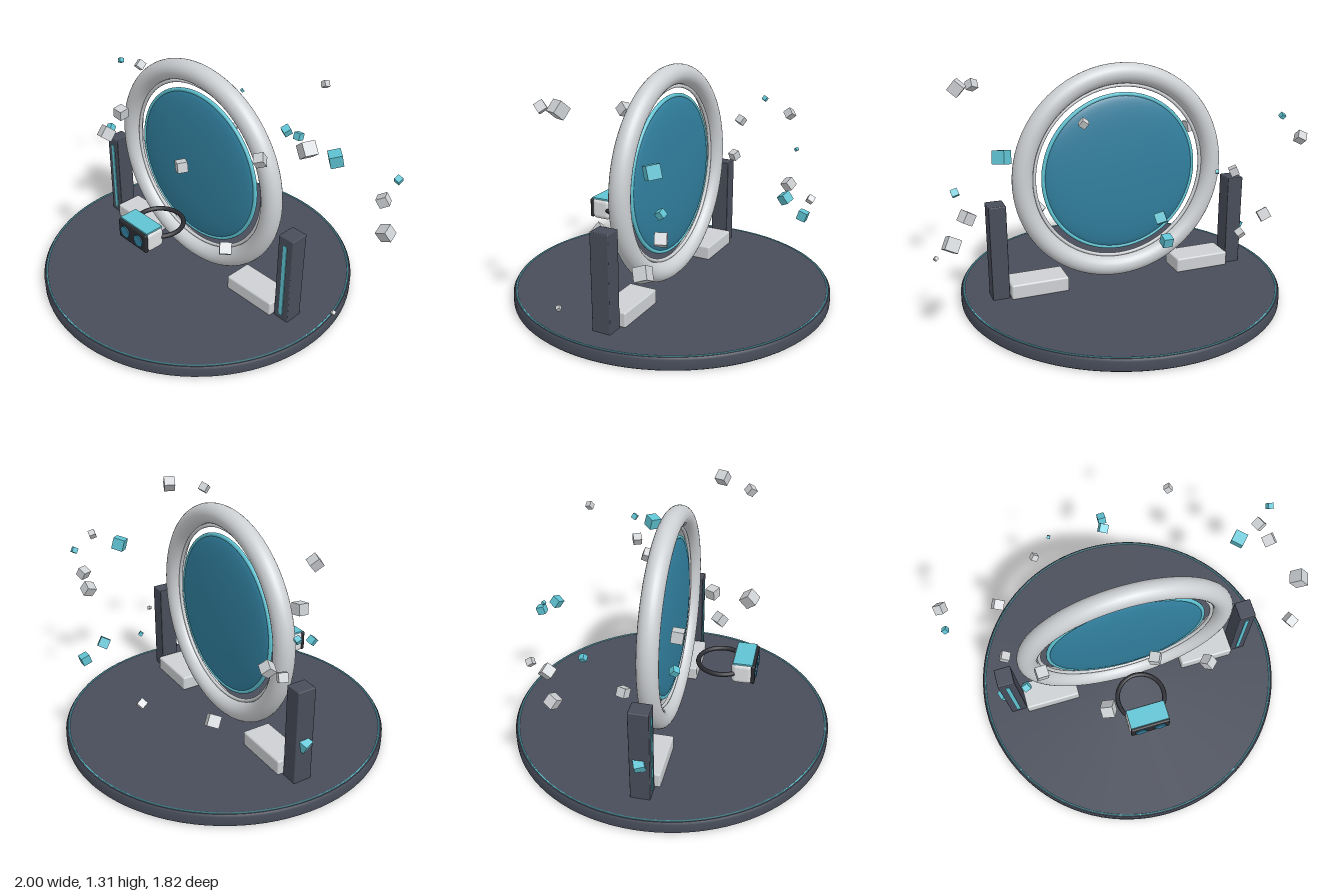
import * as THREE from 'three';
import { RoundedBoxGeometry } from 'three/addons/geometries/RoundedBoxGeometry.js';

const mat = (name, color) => {
  const m = new THREE.MeshStandardMaterial({ color });
  m.name = name;
  return m;
};

export function createModel() {
  const slate = mat('slate', 0x484d5a);
  const silver = mat('silver', 0xcdd0d3);
  const white = mat('white', 0xdedfe1);
  const glow = mat('bright teal', 0x5fc3d3);
  const blue = mat('deep teal', 0x317f9e);
  const black = mat('black', 0x2a2b31);

  const root = new THREE.Group();
  const add = (name, geo, material, x, y, z, parent = root) => {
    const m = new THREE.Mesh(geo, material);
    m.name = name;
    m.position.set(x, y, z);
    parent.add(m);
    return m;
  };
  const cx = -0.05, cy = 0.7;

  // Round platform with a small bevel and a thin inlaid line
  const bottom = [[0, 0], [0.9, 0]], wall = [[0.9, 0], [0.908, 0.008], [0.908, 0.058], [0.9, 0.07]];
  const lathe = (pts) => new THREE.LatheGeometry(pts.map(p => new THREE.Vector2(...p)), 96);
  add('platformBottom', lathe(bottom), slate, cx, 0, 0);
  add('platformWall', lathe(wall), slate, cx, 0, 0);
  add('platformTop', lathe([[0.9, 0.07], [0, 0.07]]), slate, cx, 0, 0);
  add('platformLine', new THREE.TorusGeometry(0.89, 0.004, 6, 96).rotateX(Math.PI / 2), glow, cx, 0.07, 0);

  // Upright portal: heavy ring, slim inner ring, glowing rim and lens
  add('portalRing', new THREE.TorusGeometry(0.556, 0.056, 24, 96), silver, cx, cy, 0);
  add('portalInnerRing', new THREE.TorusGeometry(0.491, 0.01, 10, 96), silver, cx, cy, 0);
  add('portalRim', new THREE.TorusGeometry(0.441, 0.011, 10, 96), glow, cx, cy, 0);
  add('portalLens', new THREE.SphereGeometry(0.437, 64, 40).scale(1, 1, 0.11), blue, cx, cy, 0);

  // Feet and light pillars on both sides
  for (const s of [-1, 1]) {
    add('foot', new RoundedBoxGeometry(0.324, 0.085, 0.165, 2, 0.01), silver, cx + s * 0.493, 0.11, 0);
    add('pillar', new RoundedBoxGeometry(0.094, 0.54, 0.106, 2, 0.005), slate, cx + s * 0.707, 0.332, 0);
    add('pillarLight', new THREE.BoxGeometry(0.023, 0.455, 0.008), glow, cx + s * 0.707, 0.328, 0.053);
  }

  // Floating headset with strap
  const headset = new THREE.Group();
  headset.name = 'headset';
  headset.position.set(cx, 0.457, 0.41);
  root.add(headset);
  add('headsetBody', new RoundedBoxGeometry(0.235, 0.126, 0.118, 4, 0.028), white, 0, 0, 0, headset);
  add('headsetTopPlate', new THREE.BoxGeometry(0.22, 0.009, 0.106), glow, 0, 0.06, 0.003, headset);
  add('headsetFace', new RoundedBoxGeometry(0.226, 0.112, 0.022, 2, 0.008), black, 0, 0, 0.06, headset);
  for (const s of [-1, 1]) {
    add('headsetLens', new THREE.CylinderGeometry(0.034, 0.034, 0.009, 32).rotateX(Math.PI / 2),
      blue, s * 0.055, 0, 0.073, headset);
  }
  add('headsetStrap', new THREE.TorusGeometry(0.133, 0.013, 12, 48).rotateX(Math.PI / 2), black, 0, -0.003, -0.123, headset);

  // Drifting cubes: x, y, z, size
  const greyCubes = [
    [0.80, 1.21, 0.13, 0.065], [0.69, 1.185, 0.315, 0.048], [0.88, 0.715, -0.44, 0.055],
    [0.95, 0.57, -0.39, 0.065], [0.98, 0.32, 0.045, 0.02], [-0.967, 0.905, -0.357, 0.05],
    [-0.54, 0.895, 0.137, 0.06], [-0.267, 0.985, 0.44, 0.062], [0.05, 0.826, 0.206, 0.056],
    [-0.72, 0.66, -0.09, 0.048], [-0.697, 0.53, -0.463, 0.058], [0.38, 0.467, 0.203, 0.062],
    [-0.42, 0.55, -0.69, 0.037], [0.35, 1.147, -0.572, 0.034],
  ];
  const tealCubes = [
    [0.67, 0.94, -0.28, 0.068], [0.93, 0.852, -0.467, 0.033], [-0.952, 0.99, -0.193, 0.027],
    [-0.64, 0.76, 0.143, 0.037], [-0.8, 0.29, 0, 0.055], [0.01, 0.685, -0.687, 0.05],
    [0.025, 0.613, -0.79, 0.046], [-0.313, 0.86, -0.628, 0.017],
  ];
  let seed = 7;
  const rnd = () => (seed = (seed * 16807) % 2147483647) / 2147483647;
  for (const [list, material] of [[greyCubes, silver], [tealCubes, glow]]) {
    for (const [x, y, z, size] of list) {
      add('floatingCube', new THREE.BoxGeometry(size, size, size), material, x, y, z)
        .rotation.set(rnd() * 3, rnd() * 3, rnd() * 3);
    }
  }
  return root;
}
